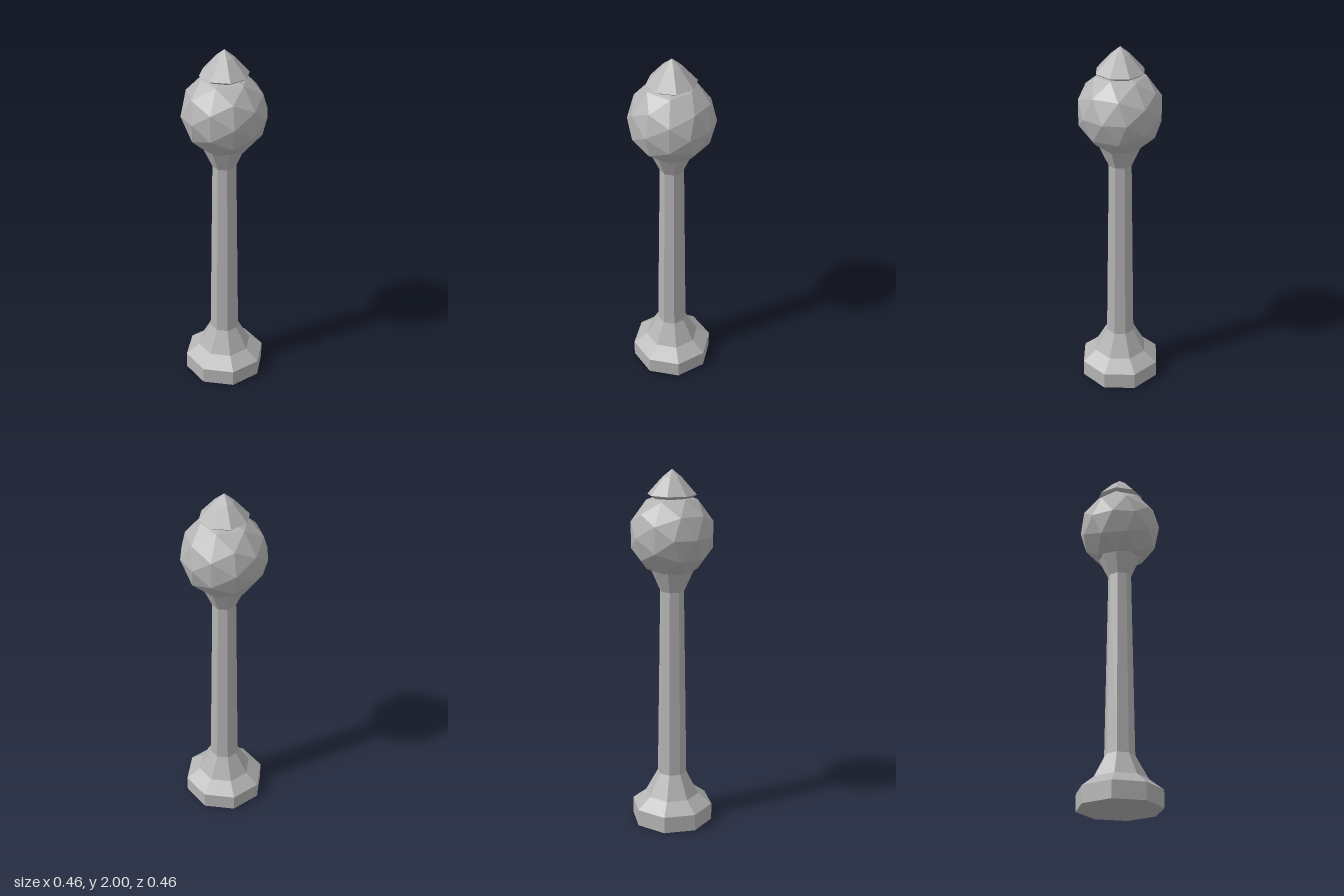
import * as THREE from 'three';

const SIDES = 8;

export function createModel() {
  const model = new THREE.Group();
  model.name = 'ornamentalPost';

  const stone = new THREE.MeshStandardMaterial({ color: 0xb4b4b4, flatShading: true });
  stone.name = 'grey stone';

  // Faceted mesh with one normal per face
  function addPart(name, geometry, y = 0) {
    const flat = geometry.index ? geometry.toNonIndexed() : geometry;
    flat.computeVertexNormals();
    const mesh = new THREE.Mesh(flat, stone);
    mesh.name = name;
    mesh.position.y = y;
    model.add(mesh);
  }

  // Octagonal turned part from [radius, height] pairs, bottom to top
  const turned = (profile) =>
    new THREE.LatheGeometry(profile.map(([r, y]) => new THREE.Vector2(r, y)), SIDES);

  // Plinth with a two-step slope up to the shaft
  addPart('base', turned([[0, 0], [0.231, 0], [0.231, 0.095], [0.153, 0.156], [0.083, 0.286]]));

  // Slightly tapering shaft
  addPart('shaft', turned([[0.083, 0.286], [0.066, 1.345]]));

  // Flared neck, ending inside the ball
  addPart('neck', turned([[0.066, 1.345], [0.128, 1.482], [0, 1.5]]));

  // Faceted ball
  addPart('ball', new THREE.IcosahedronGeometry(0.232, 1), 1.653);

  // Pointed cap with an undercut rim
  addPart('cap', turned([[0, 1.85], [0.105, 1.85], [0.133, 1.868], [0.052, 1.958], [0, 2]]));

  return model;
}
